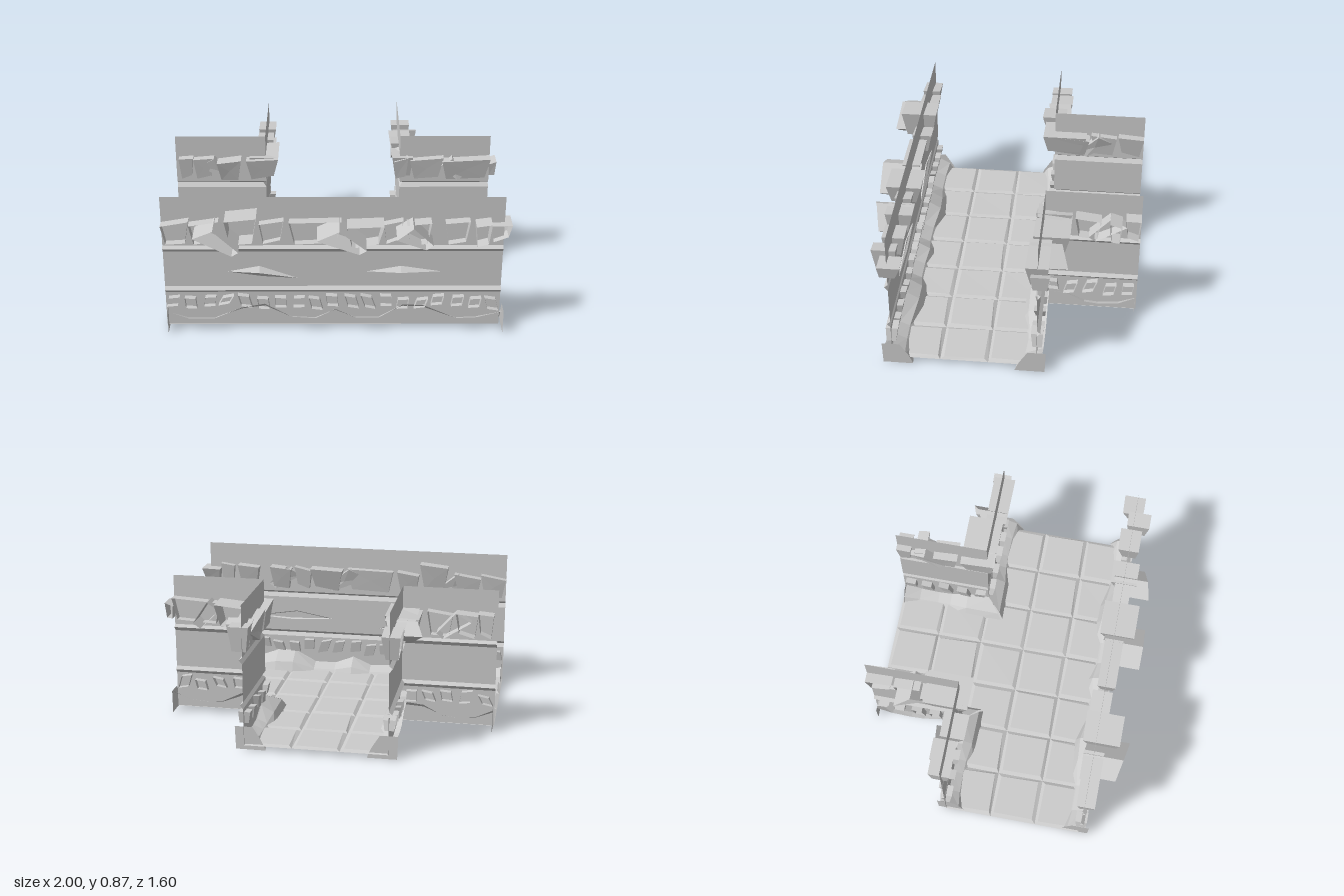
import * as THREE from 'three';

const material = new THREE.MeshStandardMaterial({ color: 0xcccccc, flatShading: true, side: THREE.DoubleSide });

let seed = 7;
const rand = (r) => {
  seed = (seed * 16807) % 2147483647;
  return (seed / 2147483647 * 2 - 1) * r;
};

// Joins rows of points into faceted strips; 'closed' wraps each row into a ring.
function loft(rows, closed, flip = false) {
  const pos = [];
  const tri = (a, b, c) => {
    if (a === b || b === c || c === a) return;
    for (const p of flip ? [a, c, b] : [a, b, c]) pos.push(...p);
  };
  for (let i = 0; i + 1 < rows.length; i++) {
    const n = rows[i].length;
    for (let j = 0; j < (closed ? n : n - 1); j++) {
      const k = (j + 1) % n;
      tri(rows[i][j], rows[i][k], rows[i + 1][k]);
      tri(rows[i][j], rows[i + 1][k], rows[i + 1][j]);
    }
  }
  const g = new THREE.BufferGeometry();
  g.setAttribute('position', new THREE.Float32BufferAttribute(pos, 3));
  g.computeVertexNormals();
  return g;
}

// Closes a ring with its centre point.
function capped(ring) {
  const c = [0, 1, 2].map((k) => ring.reduce((s, p) => s + p[k], 0) / ring.length);
  return ring.map(() => c);
}

function add(parent, name, geometry) {
  const m = new THREE.Mesh(geometry, material);
  m.name = name;
  parent.add(m);
}

// Bevelled floor tile, slightly uneven.
function tile(parent, x, z) {
  const h = 0.14;
  const ring = (s, y, j) => [[-1, 1], [1, 1], [1, -1], [-1, -1]].map(([a, b]) =>
    [x + a * s + rand(j), y + rand(j / 4), z + b * s + rand(j)]);
  const top = ring(h - 0.02, 0.04, 0.006);
  add(parent, 'floorTile', loft([ring(h, 0.028, 0), top, capped(top)], true));
}

// Wall height and depth profile: two grooves cut into a flat panel.
const PROFILE = [[0.03, 0], [0.25, 0], [0.272, -0.02], [0.29, 0], [0.52, 0], [0.545, -0.02], [0.56, 0], [0.87, 0]];

// A wall is described along a, up y and inward d; place() maps that to x, y, z.
function wall(parent, { name, a0, a1, place, flip, wave, miter = [0, 0], rocks, spikes, slabs }) {
  const g = new THREE.Group();
  g.name = name;
  parent.add(g);
  const make = (part, rows, closed) =>
    add(g, part, loft(rows.map((r) => r.map((p) => place(...p))), closed, flip));
  const prism = (part, outline, front, back) => {
    const f = outline.map(([a, y], i) => [a, y, front[i]]);
    const b = outline.map(([a, y], i) => [a, y, back[i]]);
    make(part, [b, f, capped(f)], true);
  };

  // Panel, mitred in the grooves at outside corners
  make('wallPanel', PROFILE.map(([y, d]) => [[a0 - miter[0] * d, y, d], [a1 + miter[1] * d, y, d]]), false);

  // Heaped plinth with a wavy top
  const section = [[0.12, 0], [0.075, 0.55], [0.005, 0.85], [-0.035, 1.05]];
  const ends = [miter[0] ? a0 : a0 + 0.01, miter[1] ? a1 : a1 + 0.02];
  make('plinth', section.map(([d, k]) => wave.map(([t, h], i) => {
    let a = ends[0] + (ends[1] - ends[0]) * t;
    if (i === 0) a -= miter[0] * d;
    if (i === wave.length - 1) a += miter[1] * d;
    const swell = d > 0.05 ? (h - 0.12) * 0.3 : 0;
    return [a, h * k, d + swell];
  })), false);

  // End stones on the free ends
  [0, 1].forEach((e) => {
    if (miter[e]) return;
    const ring = [[-0.05, 0], [0.125, 0], [0.1, 0.06], [0.05, 0.14], [-0.055, 0.14]].map(([d, y]) => [ends[e], y, d]);
    make('endStone', [ring, capped(ring)], true);
  });

  // Row of small crooked blocks, open at the back
  const n = Math.round((a1 - a0) / 0.105);
  for (let i = 0; i < n; i++) {
    const a = a0 + (i + 0.5) * (a1 - a0) / n + rand(0.008);
    const y = 0.195 + rand(0.014), s = rand(0.014), w = 0.032, h = 0.033;
    prism('smallBlock', [[a - w - s, y - h], [a + w - s, y - h + s], [a + w + s, y + h], [a - w + s, y + h - s]],
      [0.025, 0.025, 0.036, 0.036], [-0.03, -0.03, -0.035, -0.035]);
  }

  // Large rocks: start, end, inner depth, outer depth, bottom, top
  for (const [p, q, f, b, y0 = 0.59, y1 = 0.74] of rocks) {
    const s = Math.min(0.03, (q - p) * 0.15);
    prism('rock', [[p + s, y0], [q - s, y0 + 0.02 + rand(0.015)], [q, y1], [p, y1 - 0.015 + rand(0.015)]],
      [f * 0.5, f * 0.6, f, f * 0.95], [-b * 0.8, -b * 0.8, -b, -b]);
  }

  // Pointed shards: start, end, outer depths at both ends
  for (const [p, q, b0, b1] of spikes) {
    prism('shard', [[p, 0.68], [q - 0.04, 0.585], [q, 0.62], [p + (q - p) * 0.45, 0.74]],
      [0.03, 0.045, 0.04, 0.06], [-b0, -b1 * 0.9, -b1, -(b0 + b1) / 2]);
  }

  // Thin chips in the middle panel
  for (const [p, q, y0, y1] of slabs) {
    const m = (p + q) / 2;
    const ring = [[p, y0, 0.008], [m, (y0 + y1) / 2 - 0.015, 0.012], [q, y1, 0.008], [m - 0.02, 0.43, 0.008]];
    const tip = [m - 0.02, 0.395, -0.035];
    make('chip', [ring, ring.map(() => tip)], true);
  }
}

export function createModel() {
  const model = new THREE.Group();
  model.name = 'corridorJunction';

  // Floor: a wide hall with a narrower passage behind
  const floor = new THREE.Group();
  floor.name = 'floor';
  model.add(floor);
  for (let r = 0; r < 5; r++) {
    const half = r < 2 ? 1 : 3;
    for (let c = -half; c <= half; c++) tile(floor, -0.02 + c * 0.28, -0.66 + r * 0.28);
  }

  const longWave = [[0, 0.13], [0.06, 0.085], [0.14, 0.085], [0.22, 0.155], [0.29, 0.18], [0.37, 0.095], [0.44, 0.085],
    [0.5, 0.145], [0.56, 0.09], [0.63, 0.09], [0.7, 0.175], [0.76, 0.17], [0.86, 0.085], [0.92, 0.09], [1, 0.13]];
  const shortWave = [[0, 0.13], [0.18, 0.085], [0.4, 0.075], [0.55, 0.085], [0.75, 0.14], [1, 0.15]];
  const mirrored = shortWave.map(([t, h]) => [1 - t, h]).reverse();

  wall(model, {
    name: 'frontWall', a0: -1, a1: 0.96, wave: longWave, flip: true,
    place: (a, y, d) => [a, y, 0.6 - d],
    rocks: [[-1, -0.84, 0.05, 0.06], [-0.84, -0.67, 0.06, 0.06], [-0.63, -0.45, 0.08, 0.14, 0.62, 0.8],
      [-0.44, -0.3, 0.07, 0.05], [-0.27, 0.03, 0.05, 0.06], [0.06, 0.27, 0.09, 0.12], [0.27, 0.38, 0.05, 0.05],
      [0.4, 0.54, 0.08, 0.08], [0.62, 0.76, 0.07, 0.06], [0.79, 0.88, 0.04, 0.1], [0.88, 1, 0.08, 0.05, 0.6, 0.71]],
    spikes: [[-0.81, -0.55, 0.15, 0.2], [-0.11, 0.17, 0.18, 0.18], [0.34, 0.55, 0.17, 0.12]],
    slabs: [[-0.68, -0.17, 0.385, 0.33], [0.13, 0.66, 0.385, 0.385]],
  });
  wall(model, {
    name: 'backWallRight', a0: -1, a1: -0.44, wave: shortWave, miter: [0, 1],
    place: (a, y, d) => [a, y, -0.24 + d],
    rocks: [[-0.98, -0.89, 0.05, 0.08], [-0.89, -0.76, 0.05, 0.09], [-0.74, -0.59, 0.09, 0.06],
      [-0.56, -0.36, 0.07, 0.2]],
    spikes: [[-0.85, -0.65, 0.06, 0.1]],
    slabs: [],
  });
  wall(model, {
    name: 'backWallLeft', a0: 0.4, a1: 0.96, wave: mirrored, miter: [1, 0],
    place: (a, y, d) => [a, y, -0.24 + d],
    rocks: [[0.36, 0.45, 0.05, 0.16], [0.46, 0.67, 0.05, 0.16], [0.66, 0.96, 0.07, 0.06], [0.95, 1, 0.04, 0.07, 0.61, 0.71]],
    spikes: [[0.66, 0.8, 0.08, 0.16]],
    slabs: [],
  });
  wall(model, {
    name: 'passageWallRight', a0: -0.8, a1: -0.24, wave: shortWave, miter: [0, 1], flip: true,
    place: (a, y, d) => [-0.44 + d, y, a],
    rocks: [[-0.8, -0.64, 0.05, 0.06], [-0.63, -0.47, 0.04, 0.06], [-0.46, -0.2, 0.08, 0.1]],
    spikes: [[-0.61, -0.4, 0.16, 0.08]],
    slabs: [],
  });
  wall(model, {
    name: 'passageWallLeft', a0: -0.8, a1: -0.24, wave: shortWave, miter: [0, 1],
    place: (a, y, d) => [0.4 - d, y, a],
    rocks: [[-0.8, -0.71, 0.04, 0.08], [-0.69, -0.62, 0.03, 0.12], [-0.57, -0.42, 0.05, 0.08], [-0.4, -0.2, 0.05, 0.08]],
    spikes: [[-0.72, -0.5, 0.06, 0.09]],
    slabs: [],
  });
  return model;
}
